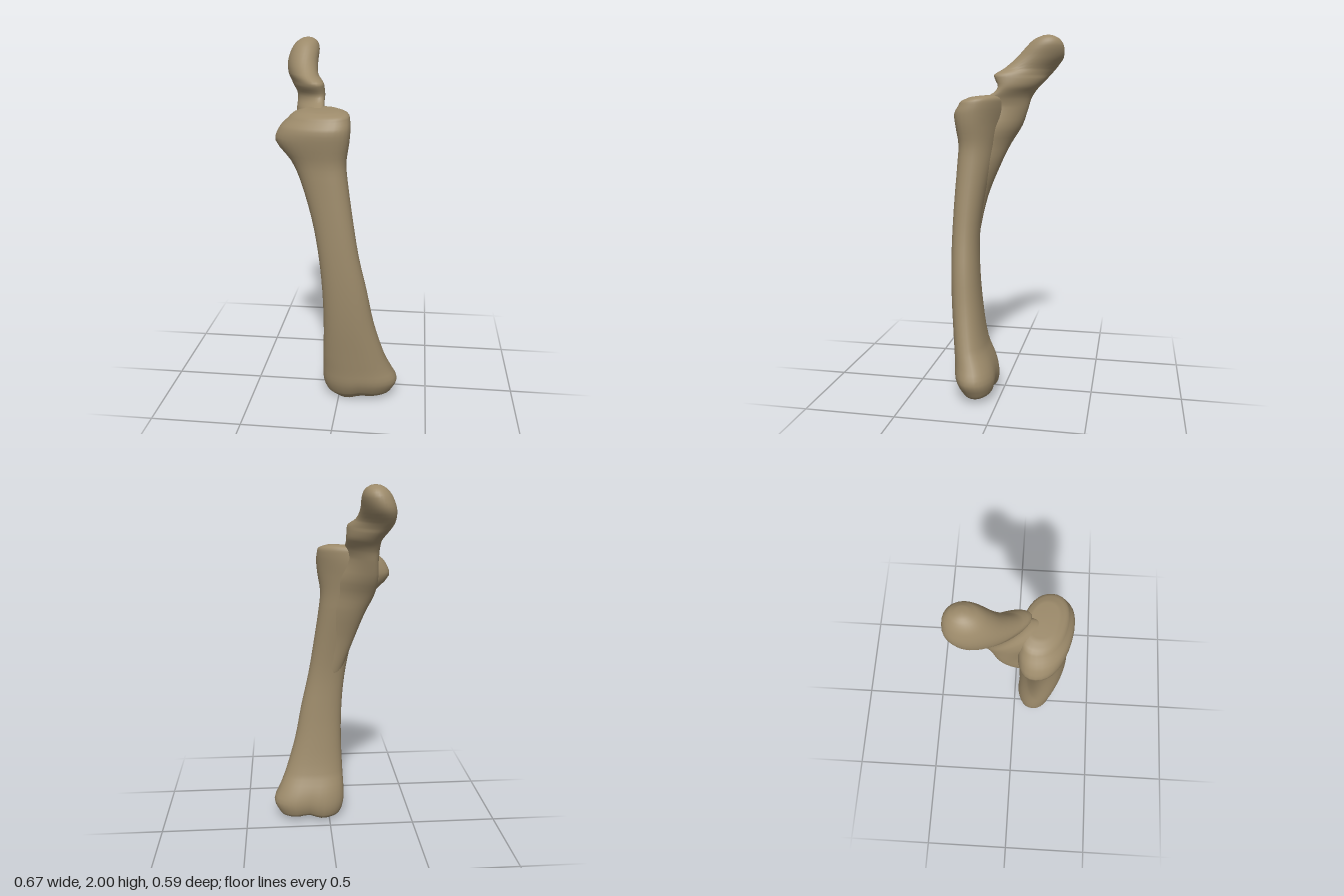
import * as THREE from 'three';

const SIDES = 32, STEPS = 3;

// Smooth interpolation of a table of section rows
function cubic(rows, t, k) {
  const n = rows.length, i = Math.min(Math.floor(t), n - 2), f = t - i;
  const p = (j) => rows[Math.max(0, Math.min(n - 1, j))];
  const slope = (j) => {
    const a = p(j - 1), b = p(j + 1);
    return (b[k] - a[k]) / Math.max(b[0] - a[0], 1e-4);
  };
  const h = p(i + 1)[0] - p(i)[0];
  const f2 = f * f, f3 = f2 * f;
  return p(i)[k] * (2 * f3 - 3 * f2 + 1) + slope(i) * h * (f3 - 2 * f2 + f)
    + p(i + 1)[k] * (3 * f2 - 2 * f3) + slope(i + 1) * h * (f3 - f2);
}

// Loft through horizontal sections: [y, xMin, xMax, zBack, zFront, shear]
function loft(rows, power, warp = (x, y, z) => [x, y, z]) {
  const pos = [], idx = [], rings = (rows.length - 1) * STEPS + 1;
  for (let r = 0; r < rings; r++) {
    const t = r / STEPS, i = Math.min(Math.floor(t), rows.length - 2);
    const y = rows[i][0] + (rows[i + 1][0] - rows[i][0]) * (t - i);
    const [x0, x1, z0, z1, shear] = [1, 2, 3, 4, 5].map((k) => cubic(rows, t, k));
    const a = (x1 - x0) / 2, half = (z1 - z0) / 2;
    const b = Math.sqrt(Math.max(half * half - (shear * a) ** 2, 1e-5));
    for (let s = 0; s < SIDES; s++) {
      const q = (s / SIDES) * Math.PI * 2, c = Math.cos(q), d = Math.sin(q);
      const u = a * Math.sign(c) * Math.abs(c) ** power;
      const v = b * Math.sign(d) * Math.abs(d) ** power;
      pos.push(...warp((x0 + x1) / 2 + u, y, (z0 + z1) / 2 + v + shear * u));
    }
  }
  for (let r = 0; r < rings - 1; r++) {
    for (let s = 0; s < SIDES; s++) {
      const a = r * SIDES + s, b = r * SIDES + (s + 1) % SIDES;
      idx.push(a, a + SIDES, b, b, a + SIDES, b + SIDES);
    }
  }
  // End caps
  for (const r of [0, rings - 1]) {
    const mid = [0, 0, 0];
    for (let s = 0; s < SIDES; s++) {
      for (let k = 0; k < 3; k++) mid[k] += pos[(r * SIDES + s) * 3 + k] / SIDES;
    }
    const m = pos.length / 3;
    pos.push(...mid);
    for (let s = 0; s < SIDES; s++) {
      const a = r * SIDES + s, b = r * SIDES + (s + 1) % SIDES;
      if (r === 0) idx.push(m, a, b); else idx.push(m, b, a);
    }
  }
  const g = new THREE.BufferGeometry();
  g.setAttribute('position', new THREE.Float32BufferAttribute(pos, 3));
  g.setIndex(idx);
  g.computeVertexNormals();
  return g;
}

export function createModel() {
  const group = new THREE.Group();
  group.name = 'forelegBone';
  const bone = new THREE.MeshStandardMaterial({ color: 0x9c8a6a });
  bone.name = 'bone';
  const add = (name, geometry) => {
    const mesh = new THREE.Mesh(geometry, bone);
    mesh.name = name;
    group.add(mesh);
  };

  // Main shaft with its flared lower joint and broad upper head
  const shaft = [
    [0.003, -0.0, 0.22, 0.1, 0.18, 0],
    [0.02, -0.04, 0.28, 0.05, 0.195, 0],
    [0.05, -0.07, 0.305, 0.025, 0.22, 0],
    [0.12, -0.09, 0.333, 0.018, 0.248, 0],
    [0.2, -0.09, 0.3, 0.04, 0.255, 0],
    [0.3, -0.085, 0.26, 0.085, 0.265, 0],
    [0.5, -0.078, 0.2, 0.12, 0.285, 0],
    [0.7, -0.082, 0.16, 0.14, 0.295, 0],
    [0.9, -0.1, 0.115, 0.147, 0.295, 0.03],
    [1.1, -0.137, 0.082, 0.125, 0.287, 0.08],
    [1.3, -0.2, 0.053, 0.085, 0.275, 0.15],
    [1.4, -0.25, 0.045, 0.065, 0.27, 0.18],
    [1.5, -0.333, 0.06, 0.035, 0.285, 0.21],
    [1.57, -0.312, 0.066, 0.03, 0.29, 0.21],
    [1.62, -0.265, 0.062, 0.035, 0.265, 0.2],
    [1.645, -0.235, 0.05, 0.045, 0.25, 0.2],
    [1.662, -0.18, 0.0, 0.08, 0.21, 0.18],
  ];
  add('shaft', loft(shaft, 0.9, (x, y, z) => {
    // Groove between the two knobs of the lower joint; upper face sloping down to the front
    const low = Math.max(0, 1 - y / 0.28), dip = Math.exp(-(((x - 0.12) / 0.05) ** 2));
    const back = THREE.MathUtils.clamp((0.16 - z) / 0.1, 0, 1);
    const top = THREE.MathUtils.smoothstep(y, 1.57, 1.66);
    const lift = low * (0.012 * dip + 0.015 * THREE.MathUtils.smoothstep(x, 0.05, 0.18));
    return [x, y + lift + top * (0.04 * (x + 0.1) - 0.12 * (z - 0.16)),
      z + 0.02 * low * dip * back];
  }));

  // Rear bone: a slanted ridge rising from the shaft into the elbow process and its beak
  const elbow = [
    [0.85, -0.05, 0.06, 0.157, 0.25, 0.1],
    [1.1, -0.135, 0.06, 0.117, 0.25, 0.35],
    [1.3, -0.2, 0.03, 0.045, 0.23, 0.5],
    [1.4, -0.24, 0.0, 0.0, 0.21, 0.62],
    [1.5, -0.253, -0.03, -0.06, 0.18, 0.8],
    [1.6, -0.25, -0.075, -0.095, 0.19, 1.15],
    [1.65, -0.25, -0.08, -0.11, 0.15, 1.1],
    [1.685, -0.25, -0.085, -0.13, 0.085, 0.95],
    [1.72, -0.255, -0.085, -0.158, 0.062, 0.85],
    [1.76, -0.28, -0.088, -0.195, 0.08, 0.9],
    [1.785, -0.295, -0.094, -0.217, 0.083, 0.98],
    [1.82, -0.312, -0.13, -0.247, 0.035, 0.8],
    [1.88, -0.315, -0.143, -0.29, -0.03, 0.4],
    [1.94, -0.295, -0.142, -0.293, -0.085, 0.1],
    [1.98, -0.265, -0.155, -0.27, -0.13, 0],
    [2.0, -0.23, -0.185, -0.23, -0.18, 0],
  ];
  add('elbowProcess', loft(elbow, 1));

  return group;
}
